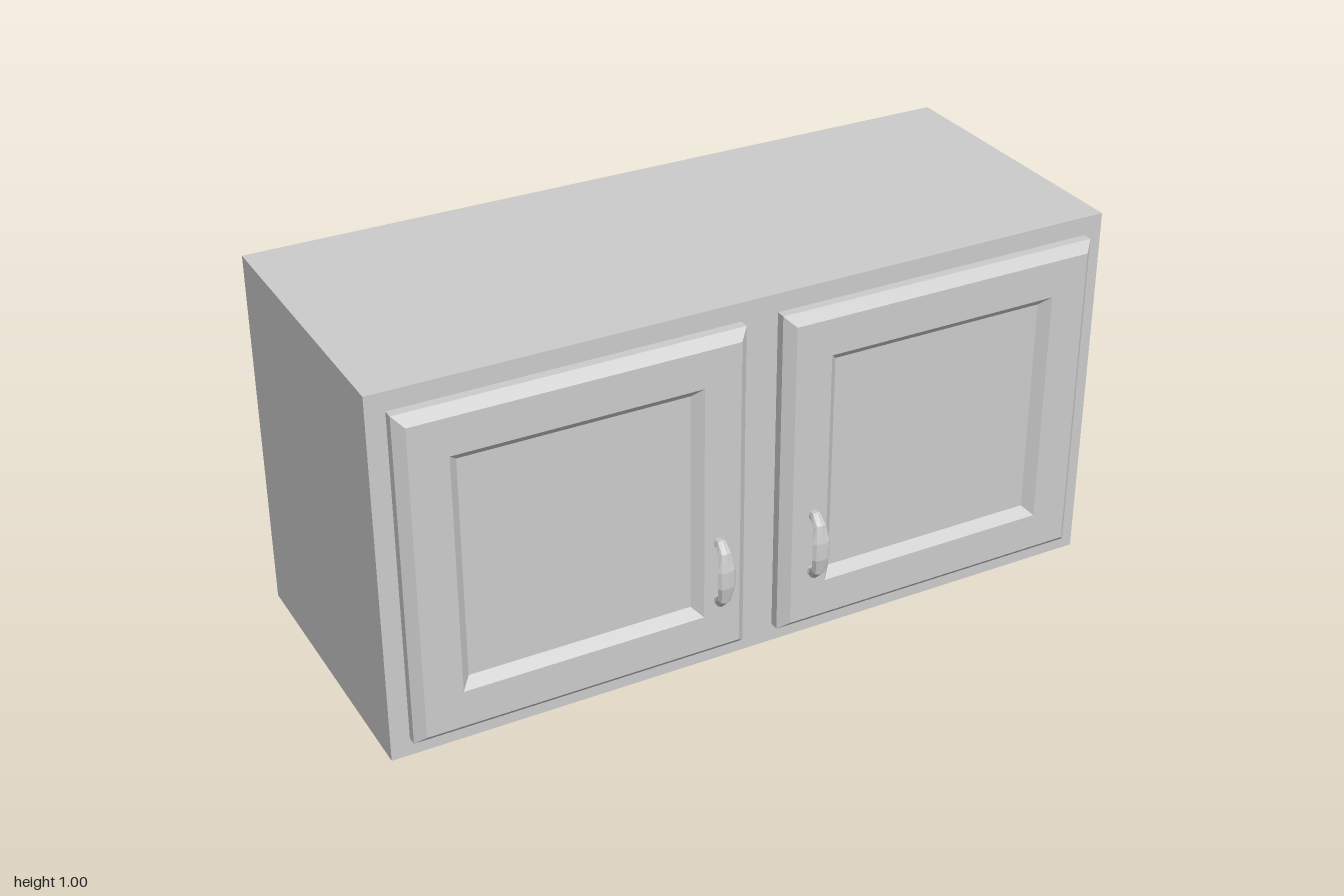
import * as THREE from 'three';

const material = new THREE.MeshStandardMaterial({ color: 0xcccccc, flatShading: true });

function addMesh(parent, name, geometry, x, y, z) {
  const mesh = new THREE.Mesh(geometry, material);
  mesh.name = name;
  mesh.position.set(x, y, z);
  parent.add(mesh);
  return mesh;
}

// Square door: a four-sided lathe with a chamfered rim and a bevelled, sunken panel
function doorGeometry() {
  const profile = [[0.45, 0], [0.45, 0.025], [0.425, 0.05], [0.325, 0.05], [0.3, 0.025], [0, 0.025]]
    .map(([half, depth]) => new THREE.Vector2(half * Math.SQRT2, depth));
  const geometry = new THREE.LatheGeometry(profile, 4, Math.PI / 4).rotateX(Math.PI / 2).toNonIndexed();
  geometry.computeVertexNormals();
  return geometry;
}

// Bow handle: eight-sided elliptical sections swept along an arch, widest in the middle
function handleGeometry() {
  // y, z, half width, half thickness
  const half = [
    [0.083, -0.005, 0.013, 0.014],
    [0.084, 0.010, 0.014, 0.016],
    [0.066, 0.031, 0.018, 0.014],
    [0.023, 0.042, 0.025, 0.011],
  ];
  const sections = [...half, ...half.map(([y, ...rest]) => [-y, ...rest]).reverse()];
  const sides = 8, positions = [], indices = [];
  sections.forEach(([y, z, w, t], i) => {
    const a = sections[Math.max(i - 1, 0)];
    const b = sections[Math.min(i + 1, sections.length - 1)];
    const dy = b[0] - a[0], dz = b[1] - a[1], length = Math.hypot(dy, dz);
    const ny = dz / length, nz = -dy / length;
    for (let j = 0; j < sides; j++) {
      const angle = (j / sides) * Math.PI * 2;
      const r = t * Math.cos(angle);
      positions.push(w * Math.sin(angle), y + ny * r, z + nz * r);
      if (i < sections.length - 1) {
        const p = i * sides + j, q = i * sides + (j + 1) % sides;
        indices.push(p, p + sides, q, q, p + sides, q + sides);
      }
    }
  });
  const indexed = new THREE.BufferGeometry();
  indexed.setAttribute('position', new THREE.Float32BufferAttribute(positions, 3));
  indexed.setIndex(indices);
  const geometry = indexed.toNonIndexed();
  geometry.computeVertexNormals();
  return geometry;
}

export function createModel() {
  const cabinet = new THREE.Group();
  cabinet.name = 'wallCabinet';

  // Carcass
  addMesh(cabinet, 'carcass', new THREE.BoxGeometry(2, 1, 0.8), 0, 0.5, -0.05);

  // Mirrored doors with their handles
  const door = doorGeometry(), handle = handleGeometry();
  for (const [side, s] of [['left', 1], ['right', -1]]) {
    addMesh(cabinet, side + 'Door', door, s * 0.5, 0.5, 0.35);
    addMesh(cabinet, side + 'Handle', handle, s * 0.135, 0.302, 0.4);
  }
  return cabinet;
}
